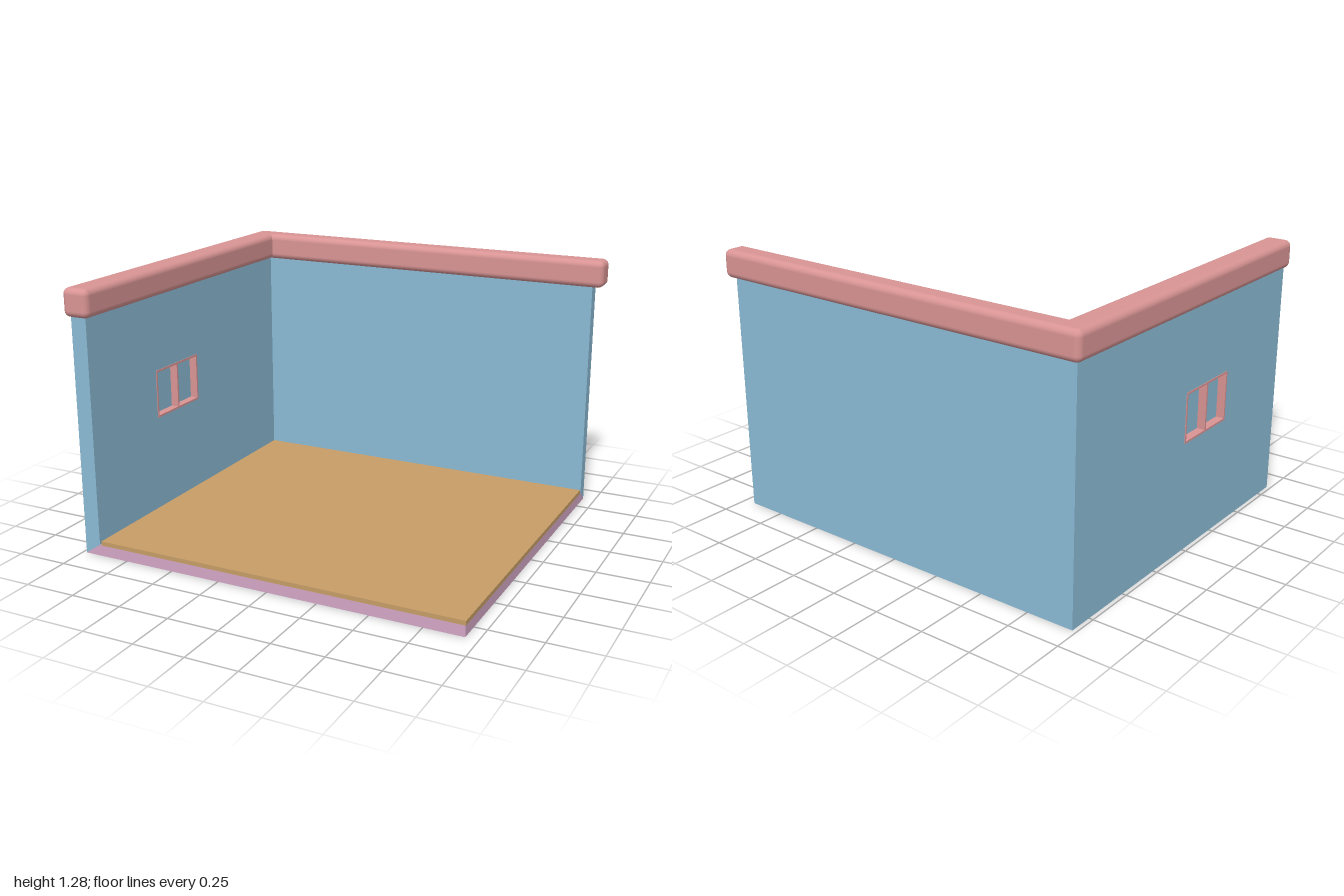
import * as THREE from 'three';
import { RoundedBoxGeometry } from 'three/addons/geometries/RoundedBoxGeometry.js';

const X0 = -0.98, XI = -0.9, X1 = 0.94;   // left wall outer / inner face, open side
const Z0 = -0.87, ZI = -0.81, Z1 = 0.85;  // back wall outer / inner face, open side
const BASE = 0.055, WALL_TOP = 1.2;

const mat = (name, color) => {
  const m = new THREE.MeshStandardMaterial({ color });
  m.name = name;
  return m;
};

// Box given by its min and max corners
function place(geo, min, max) {
  return geo.translate(...min.map((v, i) => (v + max[i]) / 2));
}
function box(min, max) {
  return place(new THREE.BoxGeometry(...max.map((v, i) => v - min[i])), min, max);
}
function roundedBox(min, max, r) {
  return place(new RoundedBoxGeometry(...max.map((v, i) => v - min[i]), 4, r), min, max);
}

// Move each vertex by a rule, then refresh the normals
function reshape(geo, rule) {
  const p = geo.attributes.position, v = new THREE.Vector3();
  for (let i = 0; i < p.count; i++) {
    rule(v.fromBufferAttribute(p, i));
    p.setXYZ(i, v.x, v.y, v.z);
  }
  geo.computeVertexNormals();
  return geo;
}

// Rectangle outline, used for walls, frames and their holes
function rect(path, a, b, c, d) {
  path.moveTo(a, b);
  path.lineTo(c, b);
  path.lineTo(c, d);
  path.lineTo(a, d);
  path.closePath();
  return path;
}

// Plate drawn in z (across) and y (up), from x = inner out to x = outer
function sidePlate(outline, holes, inner, outer) {
  const shape = rect(new THREE.Shape(), ...outline);
  holes.forEach(h => shape.holes.push(rect(new THREE.Path(), ...h)));
  const geo = new THREE.ExtrudeGeometry(shape, { depth: inner - outer, bevelEnabled: false });
  return geo.rotateY(-Math.PI / 2).translate(inner, 0, 0);
}

export function createModel() {
  const model = new THREE.Group();
  model.name = 'cutawayRoom';
  const blue = mat('wallBlue', 0x8abad4);
  const pink = mat('trimPink', 0xd99494);
  const wood = mat('floorWood', 0xc69d66);
  const mauve = mat('baseMauve', 0xd3a6c6);
  const add = (name, geo, material) => {
    const mesh = new THREE.Mesh(geo, material);
    mesh.name = name;
    model.add(mesh);
  };

  // Base slab, bevelled where it meets the two walls
  add('baseSlab', reshape(box([X0, 0, Z0], [X1, BASE, Z1]), v => {
    if (v.y < 0.01) return;
    if (v.x < 0) v.x = XI;
    if (v.z < 0) v.z = ZI;
  }), mauve);
  add('floorBoard', box([-0.887, BASE, -0.787], [0.943, 0.076, 0.854]), wood);

  // Walls, mitred against the base
  const frame = [-0.026, 0.535, 0.336, 0.776];
  add('backWall', reshape(box([X0, 0, Z0], [X1, WALL_TOP, ZI]), v => {
    if (v.y < 0.01 && v.z > ZI - 0.01) v.y = BASE;
  }), blue);
  add('sideWall', reshape(sidePlate([Z0, 0, Z1, WALL_TOP], [frame], XI, X0), v => {
    if (v.y < 0.01 && v.x > XI - 0.01) v.y = BASE;
  }), blue);

  // Window with two recessed panes
  const panes = [[-0.016, 0.545, 0.149, 0.766], [0.16, 0.545, 0.326, 0.766]];
  add('windowFrame', sidePlate(frame, panes, XI + 0.003, X0 - 0.003), pink);
  panes.forEach((p, i) => add('windowPane' + (i + 1),
    box([-0.943, p[1], p[0]], [-0.937, p[3], p[2]]), blue));

  // Rounded capping along the tops of the walls
  add('backCapping', roundedBox([-1, 1.15, -0.89], [1, 1.285, -0.77], 0.03), pink);
  add('sideCapping', roundedBox([-1, 1.15, -0.89], [-0.865, 1.285, 0.885], 0.03), pink);
  return model;
}
